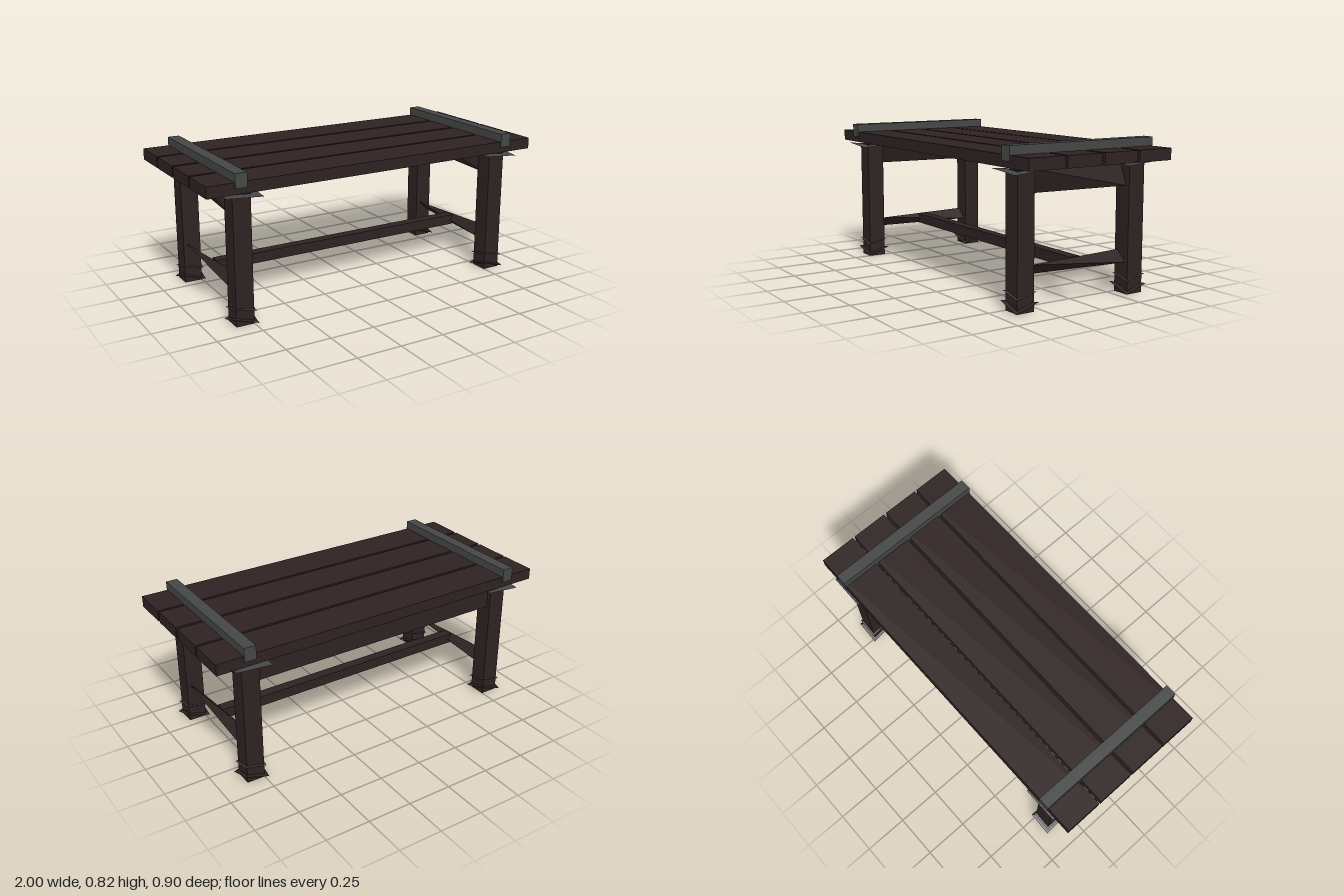
import * as THREE from 'three';
import { ConvexGeometry } from 'three/addons/geometries/ConvexGeometry.js';

export function createModel() {
  const table = new THREE.Group();
  table.name = 'table';
  const wood = new THREE.MeshStandardMaterial({ color: 0x2e2222 });
  wood.name = 'dark wood';
  const iron = new THREE.MeshStandardMaterial({ color: 0x454746 });
  iron.name = 'iron';

  const add = (name, geometry, material, x, y, z) => {
    const mesh = new THREE.Mesh(geometry, material);
    mesh.name = name;
    mesh.position.set(x, y, z);
    table.add(mesh);
  };
  const box = (w, h, d) => new THREE.BoxGeometry(w, h, d);

  // Four-sided wedge spanning alternate corners of a box; turn mirrors it in y
  const wedge = (w, h, d, turn = 1) => new ConvexGeometry(
    [[1, -1, 1], [1, 1, -1], [-1, 1, 1], [-1, -1, -1]].map(([x, y, z]) =>
      new THREE.Vector3(x * w / 2, turn * y * h / 2, z * d / 2)));

  // Tabletop planks
  for (const z of [-0.337, -0.113, 0.113, 0.337]) {
    add('plank', box(2, 0.062, 0.21), wood, 0, 0.744, z);
  }

  for (const x of [-0.8, 0.8]) {
    // Iron strap across the planks
    add('strap', box(0.065, 0.076, 0.9), iron, Math.sign(x) * 0.82, 0.783, 0);

    // Legs with bracket, band and foot
    for (const z of [-0.35, 0.35]) {
      add('leg', box(0.1, 0.7, 0.1), wood, x, 0.35, z);
      add('bracket', wedge(0.2, 0.016, 0.2), iron, x, 0.693, z);
      add('legBand', wedge(0.12, 0.028, 0.12), iron, x, 0.088, z);
      add('foot', wedge(0.136, 0.045, 0.136), wood, x, 0.028, z);
    }

    // End rails, tapered and twisted
    add('endApron', wedge(0.05, 0.127, 0.6, -1), wood, x, 0.637, 0);
    add('endStretcher', wedge(0.06, 0.06, 0.6, -1), wood, x, 0.2, 0);
  }

  // Long rails
  add('backApron', box(1.5, 0.127, 0.05), wood, 0, 0.637, -0.35);
  add('longStretcher', box(1.58, 0.058, 0.06), wood, 0, 0.2, 0);

  return table;
}
